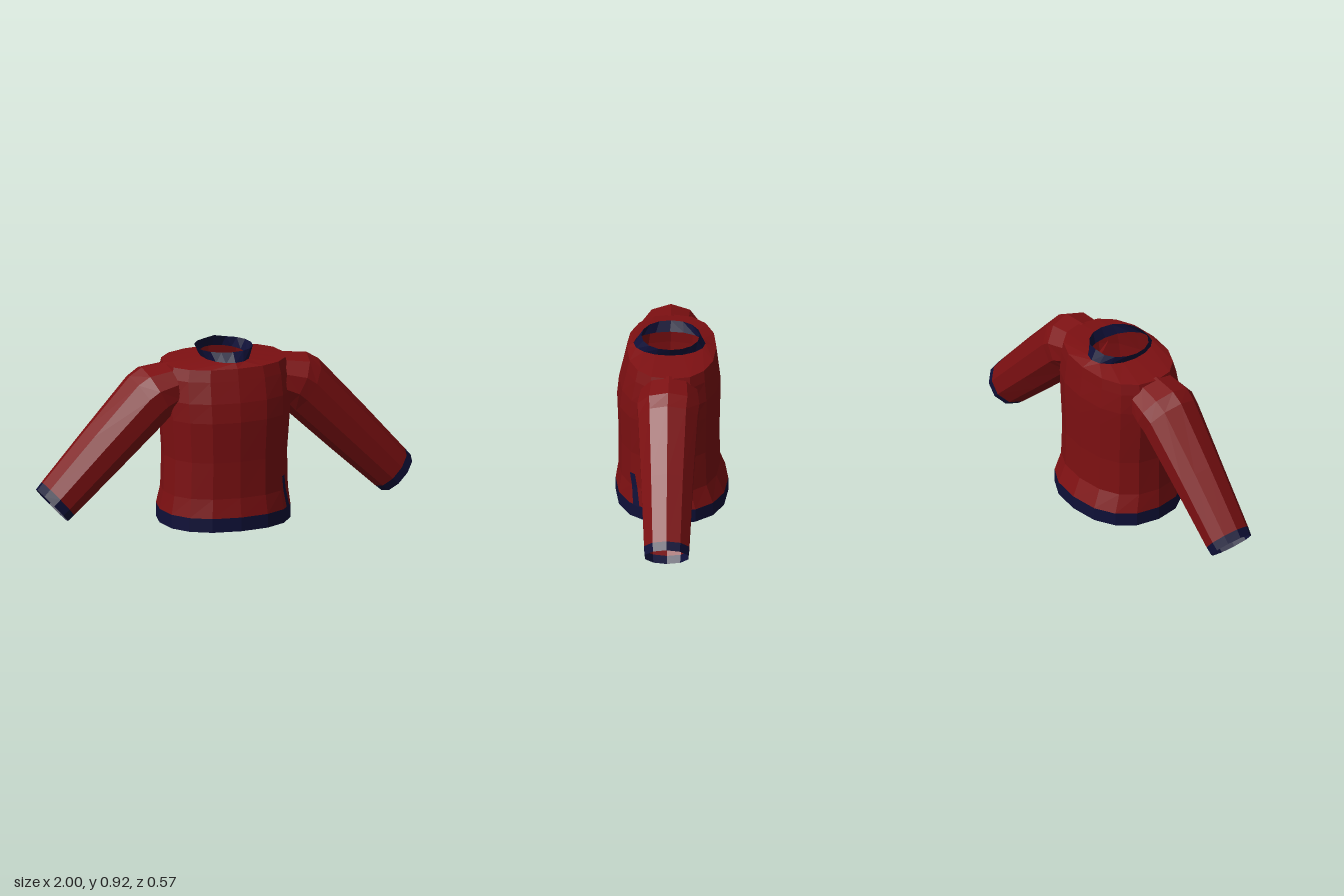
import * as THREE from 'three';

const SIDES = 16;
const red = new THREE.MeshStandardMaterial({ color: 0x7d1012, side: THREE.DoubleSide, flatShading: true });
red.name = 'deep red cloth';
const navy = new THREE.MeshStandardMaterial({ color: 0x0f1038, side: THREE.DoubleSide, flatShading: true });
navy.name = 'navy trim';

// Skin a list of equal-length rings of points; closed rings wrap around.
function loft(name, rings, material, closed = true) {
  const n = rings[0].length, index = [];
  const last = closed ? n : n - 1;
  for (let i = 0; i < rings.length - 1; i++) {
    for (let j = 0; j < last; j++) {
      const k = (j + 1) % n;
      const a = i * n + j, b = i * n + k, c = b + n, d = a + n;
      index.push(a, b, c, a, c, d);
    }
  }
  const g = new THREE.BufferGeometry();
  g.setAttribute('position', new THREE.Float32BufferAttribute(rings.flat(2), 3));
  g.setIndex(index);
  g.computeVertexNormals();
  const mesh = new THREE.Mesh(g, material);
  mesh.name = name;
  return mesh;
}

// Rounded body cross-section: height, half width, front z, back z, squareness.
function bodyRing([y, w, front, back, power = 2.3]) {
  const curve = (v) => Math.sign(v) * Math.abs(v) ** (2 / power);
  const mid = (front + back) / 2, depth = (front - back) / 2;
  return Array.from({ length: SIDES }, (_, j) => {
    const a = (j / SIDES) * Math.PI * 2;
    return [w * curve(Math.sin(a)), y, mid + depth * curve(Math.cos(a))];
  });
}

// Sleeve cross-section between a top and a bottom point in the xy plane.
function sleeveRing([tx, ty, bx, by, halfZ, midZ], side) {
  return Array.from({ length: 10 }, (_, j) => {
    const a = side * (j / 10) * Math.PI * 2, c = Math.cos(a) / 2;
    return [
      side * ((tx + bx) / 2 + (tx - bx) * c),
      (ty + by) / 2 + (ty - by) * c,
      midZ + halfZ * Math.sin(a),
    ];
  });
}

export function createModel() {
  const jacket = new THREE.Group();
  jacket.name = 'jacket';

  // Torso, shoulder yoke and neck opening
  const bodyRings = [
    [0.072, 0.34, 0.285, -0.285],
    [0.17, 0.325, 0.27, -0.245],
    [0.36, 0.32, 0.27, -0.24],
    [0.57, 0.335, 0.278, -0.245],
    [0.67, 0.34, 0.268, -0.245],
    [0.78, 0.335, 0.243, -0.232],
    [0.84, 0.32, 0.228, -0.225],
    [0.862, 0.125, 0.195, -0.17, 2],
  ].map(bodyRing);
  jacket.add(loft('torso', bodyRings, red));

  // Waistband
  jacket.add(loft('waistband', [
    bodyRing([0, 0.34, 0.285, -0.285]),
    bodyRings[0],
  ], navy));

  // Collar, with a small peak at the back
  const collarTop = bodyRing([0.908, 0.147, 0.155, -0.142, 2.1]);
  collarTop[SIDES / 2][1] += 0.008;
  jacket.add(loft('collar', [bodyRing([0.856, 0.122, 0.197, -0.172, 2]), collarTop], navy));

  // Sleeves and cuffs
  const sleeveRows = [
    [0.3, 0.846, 0.27, 0.6, 0.15, 0.01],
    [0.44, 0.83, 0.305, 0.565, 0.165, 0.012],
    [0.505, 0.79, 0.335, 0.53, 0.158, 0.014],
    [0.74, 0.53, 0.575, 0.305, 0.137, 0.014],
    [0.968, 0.27, 0.81, 0.09, 0.12, 0.013],
  ];
  const cuffRow = [0.998, 0.235, 0.843, 0.062, 0.115, 0.013];
  for (const side of [1, -1]) {
    const word = side > 0 ? 'left' : 'right';
    const rings = sleeveRows.map((row) => sleeveRing(row, side));
    jacket.add(loft(word + 'Sleeve', rings, red));
    jacket.add(loft(word + 'Cuff', [rings[rings.length - 1], sleeveRing(cuffRow, side)], navy));
  }

  // Slanted pocket trim laid just above the left front of the torso
  const onBody = (u, row, t) => {
    const j = Math.floor(u), f = u - j;
    const at = (r, k) => bodyRings[r][k];
    const p = [0, 1, 2].map((k) => {
      const low = at(row, j)[k] * (1 - f) + at(row, j + 1)[k] * f;
      const high = at(row + 1, j)[k] * (1 - f) + at(row + 1, j + 1)[k] * f;
      return low * (1 - t) + high * t;
    });
    return [p[0] + 0.005, p[1], p[2] + 0.006];
  };
  const pocketRows = [[2.28, 2.65, 0, 0], [2.14, 2.48, 0, 1], [2.0, 2.33, 1, 0.4]];
  jacket.add(loft('pocketTrim',
    pocketRows.map(([u0, u1, row, t]) => [onBody(u0, row, t), onBody(u1, row, t)]), navy, false));

  return jacket;
}
